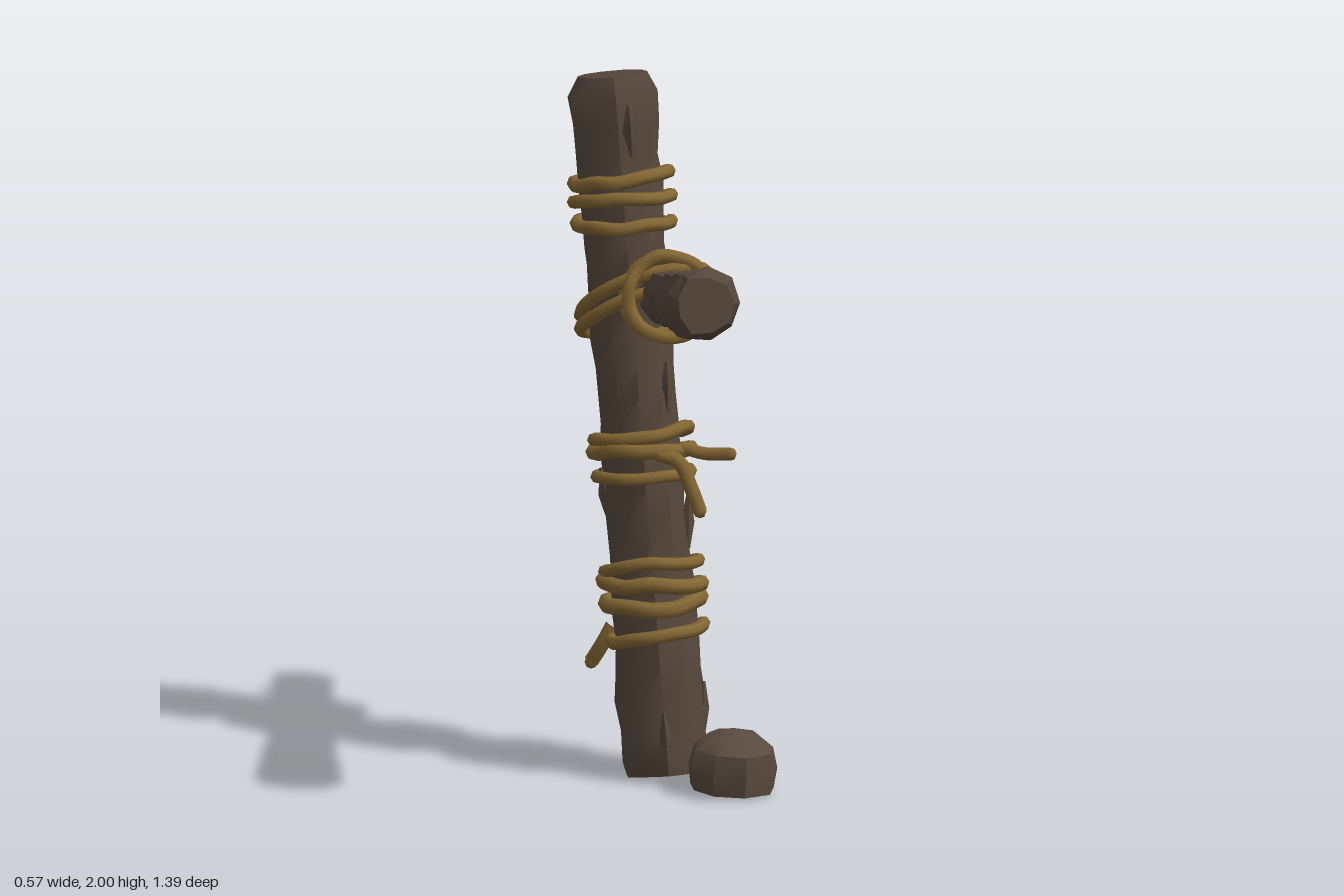
import * as THREE from 'three';
import { toCreasedNormals } from 'three/addons/utils/BufferGeometryUtils.js';

const V = (x, y, z) => new THREE.Vector3(x, y, z);
const UP = V(0, 1, 0);

function seeded(seed) {
  let s = seed;
  return () => {
    s = (s * 16807) % 2147483647;
    return s / 2147483647 - 0.5;
  };
}

// Rough closed solid lofted from a to b; profile holds [fraction along, radius]
function loft(a, b, profile, sides, rough, seed, crease = 0.6) {
  const rnd = seeded(seed);
  const axis = b.clone().sub(a);
  const turn = new THREE.Quaternion().setFromUnitVectors(UP, axis.clone().normalize());
  const ridge = Array.from({ length: sides }, () => 1 + rnd() * rough);
  const rows = [[profile[0][0], 0], ...profile, [profile[profile.length - 1][0], 0]];
  const pos = [], index = [];
  rows.forEach(([t, r]) => {
    for (let j = 0; j < sides; j++) {
      const q = (j + 0.5) / sides * Math.PI * 2;
      const rr = r * ridge[j] * (1 + rnd() * rough);
      const p = V(Math.cos(q) * rr, 0, Math.sin(q) * rr).applyQuaternion(turn).add(a).addScaledVector(axis, t);
      pos.push(p.x, Math.max(p.y, 0), p.z);
    }
  });
  for (let i = 0; i < rows.length - 1; i++) {
    for (let j = 0; j < sides; j++) {
      const k = (j + 1) % sides;
      const p = i * sides + j, q = i * sides + k;
      if (i > 0) index.push(p, p + sides, q);
      if (i < rows.length - 2) index.push(p + sides, q + sides, q);
    }
  }
  // close the two ends where the rows collapse to a point
  const g = new THREE.BufferGeometry();
  g.setAttribute('position', new THREE.Float32BufferAttribute(pos, 3));
  g.setIndex(index);
  return toCreasedNormals(g, crease);
}

// Interpolates a few [t, r] pairs into evenly spaced rows
function fill(points, n) {
  const out = [points[0]];
  const [first, last] = [points[1], points[points.length - 2]];
  for (let i = 0; i <= n; i++) {
    const t = first[0] + (last[0] - first[0]) * i / n;
    let k = 1;
    while (k < points.length - 3 && points[k + 1][0] < t) k++;
    const [t0, r0] = points[k], [t1, r1] = points[k + 1];
    out.push([t, r0 + (r1 - r0) * (t - t0) / (t1 - t0)]);
  }
  out.push(points[points.length - 1]);
  return out;
}

export function createModel() {
  const model = new THREE.Group();
  const wood = new THREE.MeshStandardMaterial({ color: 0x55463b });
  const stone = new THREE.MeshStandardMaterial({ color: 0x594a3f });
  const rope = new THREE.MeshStandardMaterial({ color: 0x836633 });
  wood.name = 'dark wood';
  stone.name = 'brown stone';
  rope.name = 'rope';

  const add = (parent, name, geometry, material) => {
    const m = new THREE.Mesh(geometry, material);
    m.name = name;
    parent.add(m);
    return m;
  };

  // Leaning post
  const postA = V(0, 0.01, 0.01), postB = V(-0.005, 1.98, -0.33);
  const postDir = postB.clone().sub(postA).normalize();
  const onPost = y => postA.clone().lerp(postB, (y - postA.y) / (postB.y - postA.y));
  add(model, 'post', loft(postA, postB, fill(
    [[0, 0.122], [0.02, 0.13], [0.12, 0.128], [0.3, 0.118], [0.6, 0.116], [0.85, 0.122], [0.972, 0.127], [1, 0.105]], 22),
    11, 0.12, 77), wood);

  // Crossbeam, thick at the front
  const beamA = V(-0.205, 1.547, 0.668), beamB = V(0.228, 1.247, -0.677);
  const beamDir = beamB.clone().sub(beamA).normalize();
  const onBeam = z => beamA.clone().lerp(beamB, (z - beamA.z) / (beamB.z - beamA.z));
  add(model, 'crossbeam', loft(beamA, beamB, fill(
    [[0, 0.085], [0.035, 0.107], [0.2, 0.092], [0.4, 0.078], [0.7, 0.072], [0.975, 0.07], [1, 0.055]], 18),
    9, 0.13, 211), wood);

  // Bark splinters along the post
  const bark = new THREE.Group();
  bark.name = 'barkSplinters';
  model.add(bark);
  [[0.2, 0.5], [0.14, 2.0], [0.72, 0.3], [0.8, 3.6], [1.12, 1.2], [1.2, 5.2], [1.85, 1.7], [1.88, 4.2]].forEach(([y, q], i) => {
    const out = V(Math.cos(q), 0, Math.sin(q));
    const low = onPost(y - 0.08).addScaledVector(out, 0.108);
    const high = onPost(y + 0.07).addScaledVector(out, 0.122);
    add(bark, 'splinter', loft(low, high, [[0, 0.008], [0.5, 0.022], [1, 0.006]], 5, 0.3, 31 + i), wood);
  });

  // Cut knot on the back of the post
  const knotDir = V(0.5, -0.1, -0.86).normalize();
  const knot = add(model, 'knot', new THREE.CylinderGeometry(0.035, 0.035, 0.009, 8), rope);
  knot.position.copy(onPost(1.87)).addScaledVector(knotDir, 0.126);
  knot.quaternion.setFromUnitVectors(UP, knotDir);
  knot.scale.z = 0.7;

  // Stone at the foot
  add(model, 'stone', loft(V(0.09, 0.01, 0.24), V(0.095, 0.175, 0.245),
    [[0, 0.125], [0.35, 0.135], [0.72, 0.124], [0.93, 0.075], [1, 0.03]], 9, 0.1, 909, 0.7), stone);

  // Rope helpers: closed wobbly coil, and loose end
  const closed = (points, r) => new THREE.TubeGeometry(new THREE.CatmullRomCurve3(points, true), 44, r, 7, true);
  function coil(parent, centre, dir, radius, r, seed, tilt = 0) {
    const rnd = seeded(seed);
    const turn = new THREE.Quaternion().setFromUnitVectors(UP, dir);
    const points = Array.from({ length: 12 }, (_, i) => {
      const q = i / 12 * Math.PI * 2;
      const rr = radius * (1 + rnd() * 0.07);
      return V(Math.cos(q) * rr, tilt * Math.cos(q + seed) + rnd() * 0.014, Math.sin(q) * rr)
        .applyQuaternion(turn).add(centre);
    });
    add(parent, 'coil', closed(points, r), rope);
  }
  function tail(parent, points, r) {
    const curve = new THREE.CatmullRomCurve3(points.map(p => V(...p)));
    add(parent, 'looseEnd', new THREE.TubeGeometry(curve, 12, r, 6), rope);
    const end = add(parent, 'ropeTip', new THREE.SphereGeometry(r, 6, 4), rope);
    end.position.copy(curve.getPoint(1));
  }
  const lashing = name => {
    const g = new THREE.Group();
    g.name = name;
    model.add(g);
    return g;
  };

  // Three lashings around the post: [height, tube radius, tilt]
  const wraps = {
    upperLashing: [[1.685, 0.021, 0.008], [1.625, 0.02, 0.012], [1.56, 0.02, 0.008]],
    middleLashing: [[0.965, 0.02, 0.01], [0.92, 0.022, 0.012], [0.853, 0.018, 0.008]],
    lowerLashing: [[0.595, 0.019, 0.016], [0.545, 0.023, 0.014], [0.495, 0.024, 0.012], [0.405, 0.02, 0.012]]
  };
  const groups = {};
  Object.entries(wraps).forEach(([name, list], n) => {
    groups[name] = lashing(name);
    list.forEach(([y, r, tilt], i) => coil(groups[name], onPost(y), postDir, 0.136, r, 100 + n * 37 + i * 11, tilt));
  });
  tail(groups.middleLashing, [[-0.02, 0.94, -0.01], [0.03, 0.92, 0.02], [0.055, 0.85, 0.045], [0.075, 0.78, 0.065]], 0.021);
  tail(groups.middleLashing, [[0.06, 0.95, -0.02], [0.11, 0.935, 0.02], [0.165, 0.94, 0.08]], 0.019);
  tail(groups.lowerLashing, [[-0.1, 0.42, -0.14], [-0.125, 0.37, -0.15], [-0.148, 0.31, -0.18]], 0.021);

  // Crossing: coils on the beam, either side of the post
  const crossing = lashing('crossLashing');
  [[-0.02, 0.118], [-0.075, 0.112], [-0.13, 0.106], [-0.285, 0.1], [-0.325, 0.098]].forEach(([z, radius], i) =>
    coil(crossing, onBeam(z), beamDir, radius, 0.02, 300 + i * 17, 0.008));

  // Crossing: diagonal loops around post and beam together
  [0, 1].forEach(i => {
    const d = -0.055 * i;
    add(crossing, 'diagonalLoop', closed([
      V(0.07, 1.47 + d, -0.03), V(-0.07, 1.44 + d, -0.09), V(-0.145, 1.37 + d, -0.18),
      V(-0.12, 1.29 + d * 0.7, -0.3), V(-0.01, 1.25 + d * 0.6, -0.37), V(0.1, 1.26 + d * 0.5, -0.37),
      V(0.2, 1.31 + d, -0.29), V(0.205, 1.38 + d, -0.15), V(0.15, 1.45 + d, -0.06)
    ], 0.02), rope);
  });
  tail(crossing, [[0.17, 1.38, -0.32], [0.14, 1.36, -0.4], [0.12, 1.385, -0.47]], 0.02);
  tail(crossing, [[0.2, 1.25, -0.28], [0.15, 1.2, -0.31], [0.11, 1.19, -0.33]], 0.019);

  return model;
}
